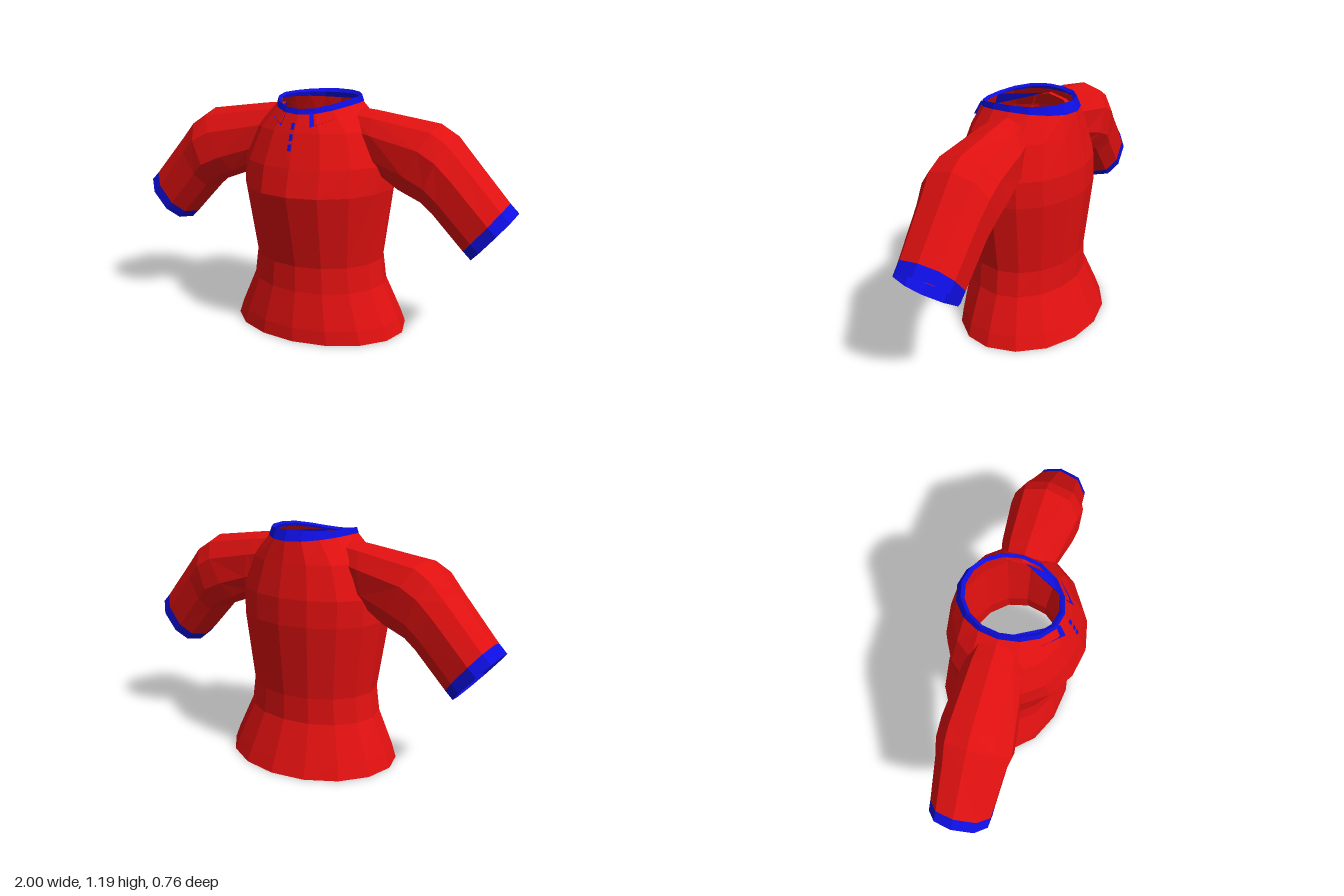
import * as THREE from 'three';

const SIDES = 16;
const material = (name, color) => new THREE.MeshStandardMaterial({
  name, color, flatShading: true, side: THREE.DoubleSide,
});

// Skin consecutive closed rings of points into an open tube.
function loft(rings) {
  const n = rings[0].length, index = [];
  for (let i = 0; i < rings.length - 1; i++) {
    for (let j = 0; j < n; j++) {
      const a = i * n + j, b = i * n + (j + 1) % n;
      index.push(a, b, b + n, a, b + n, a + n);
    }
  }
  const geometry = new THREE.BufferGeometry();
  geometry.setAttribute('position', new THREE.Float32BufferAttribute(rings.flat(2), 3));
  geometry.setIndex(index);
  geometry.computeVertexNormals();
  return geometry;
}

// Horizontal ring; its height may differ at the front, the sides and the back.
function bodyRing([y, halfWidth, front, back, ySide = y, yBack = y]) {
  return Array.from({ length: SIDES }, (_, j) => {
    const a = j / SIDES * Math.PI * 2, c = Math.cos(a);
    const yEnd = c > 0 ? y : yBack;
    return [halfWidth * Math.sin(a), ySide + (yEnd - ySide) * c * c, c * (c > 0 ? front : back)];
  });
}

// Sleeve ring from its top point to its bottom point, slightly squared.
function sleeveRing([tx, ty, bx, by, front, back]) {
  const n = 10, soft = (v) => Math.sign(v) * Math.abs(v) ** 0.85;
  return Array.from({ length: n }, (_, j) => {
    const a = j / n * Math.PI * 2, c = soft(Math.cos(a)), s = soft(Math.sin(a));
    return [(tx + bx) / 2 + c * (tx - bx) / 2, (ty + by) / 2 + c * (ty - by) / 2,
      s * (s > 0 ? front : back)];
  });
}

// y, half width, front depth, back depth, side height, back height
const BODY = [
  [0, 0.46, 0.335, 0.38],
  [0.07, 0.435, 0.33, 0.35],
  [0.25, 0.355, 0.295, 0.272],
  [0.38, 0.337, 0.29, 0.267],
  [0.75, 0.385, 0.382, 0.305],
  [0.88, 0.385, 0.345, 0.3],
  [1.04, 0.315, 0.285, 0.266],
  [1.125, 0.203, 0.245, 0.243, 1.16, 1.145],
];

// Depth of the chest surface at a given x and y.
function chestZ(x, y) {
  let i = 0;
  while (i < BODY.length - 2 && BODY[i + 1][0] < y) i++;
  const a = BODY[i], b = BODY[i + 1], t = (y - a[0]) / (b[0] - a[0]);
  const w = a[1] + (b[1] - a[1]) * t, z = a[2] + (b[2] - a[2]) * t;
  return z * Math.sqrt(Math.max(0, 1 - (x / w) ** 2));
}

// Four-cornered patch lying just in front of the chest.
function chestPatch(corners, lift) {
  const geometry = new THREE.BufferGeometry();
  const points = corners.flatMap(([x, y]) => [x, y, chestZ(x, y) + lift]);
  geometry.setAttribute('position', new THREE.Float32BufferAttribute(points, 3));
  geometry.setIndex([0, 1, 2, 0, 2, 3]);
  geometry.computeVertexNormals();
  return geometry;
}

export function createModel() {
  const model = new THREE.Group();
  model.name = 'shirt';
  const red = material('redFabric', 0xe01010);
  const blue = material('blueTrim', 0x0e0ee0);
  const add = (name, geometry, mat, parent = model) => {
    const mesh = new THREE.Mesh(geometry, mat);
    mesh.name = name;
    parent.add(mesh);
  };

  // Body, open at the neck and hem
  add('body', loft(BODY.map(bodyRing)), red);

  // Sleeves with trimmed cuffs: top x, y, bottom x, y, front, back
  const cuffStart = [0.957, 0.74, 0.762, 0.497, 0.165, 0.142];
  const sleeve = [
    [0.19, 1.14, 0.33, 0.82, 0.13, 0.12],
    [0.3, 1.13, 0.37, 0.80, 0.15, 0.14],
    [0.62, 1.085, 0.44, 0.752, 0.185, 0.165],
    [0.69, 1.04, 0.56, 0.705, 0.197, 0.168],
    [0.77, 0.95, 0.61, 0.66, 0.18, 0.155],
    cuffStart,
  ];
  const cuff = [cuffStart, [1, 0.697, 0.8, 0.46, 0.163, 0.14]];
  for (const [side, sign] of [['left', 1], ['right', -1]]) {
    const arm = new THREE.Group();
    arm.name = side + 'Arm';
    arm.scale.x = sign;
    add(side + 'Sleeve', loft(sleeve.map(sleeveRing)), red, arm);
    add(side + 'Cuff', loft(cuff.map(sleeveRing)), blue, arm);
    // Pointed front of the collar
    add(side + 'CollarFlap', chestPatch(
      [[0.075, 1.068], [0.17, 1.105], [0.185, 1.14], [0.06, 1.135]], 0.016), blue, arm);
    model.add(arm);
  }

  // Collar band, low at the throat and high at the nape
  add('collar', loft([
    [1.12, 0.208, 0.25, 0.25, 1.158, 1.142],
    [1.145, 0.2, 0.24, 0.225, 1.188, 1.193],
    [1.135, 0.185, 0.222, 0.208, 1.18, 1.175],
  ].map(bodyRing)), blue);

  // Narrow placket and its buttons
  add('placket', chestPatch([[-0.016, 0.915], [0, 0.915], [0, 1.08], [-0.016, 1.08]], 0.006), red);
  for (const y of [0.975, 1.02, 1.07]) {
    add('button', chestPatch([[-0.018, y - 0.015], [0, y - 0.015], [0, y + 0.015],
      [-0.018, y + 0.015]], 0.012), blue);
  }
  return model;
}
